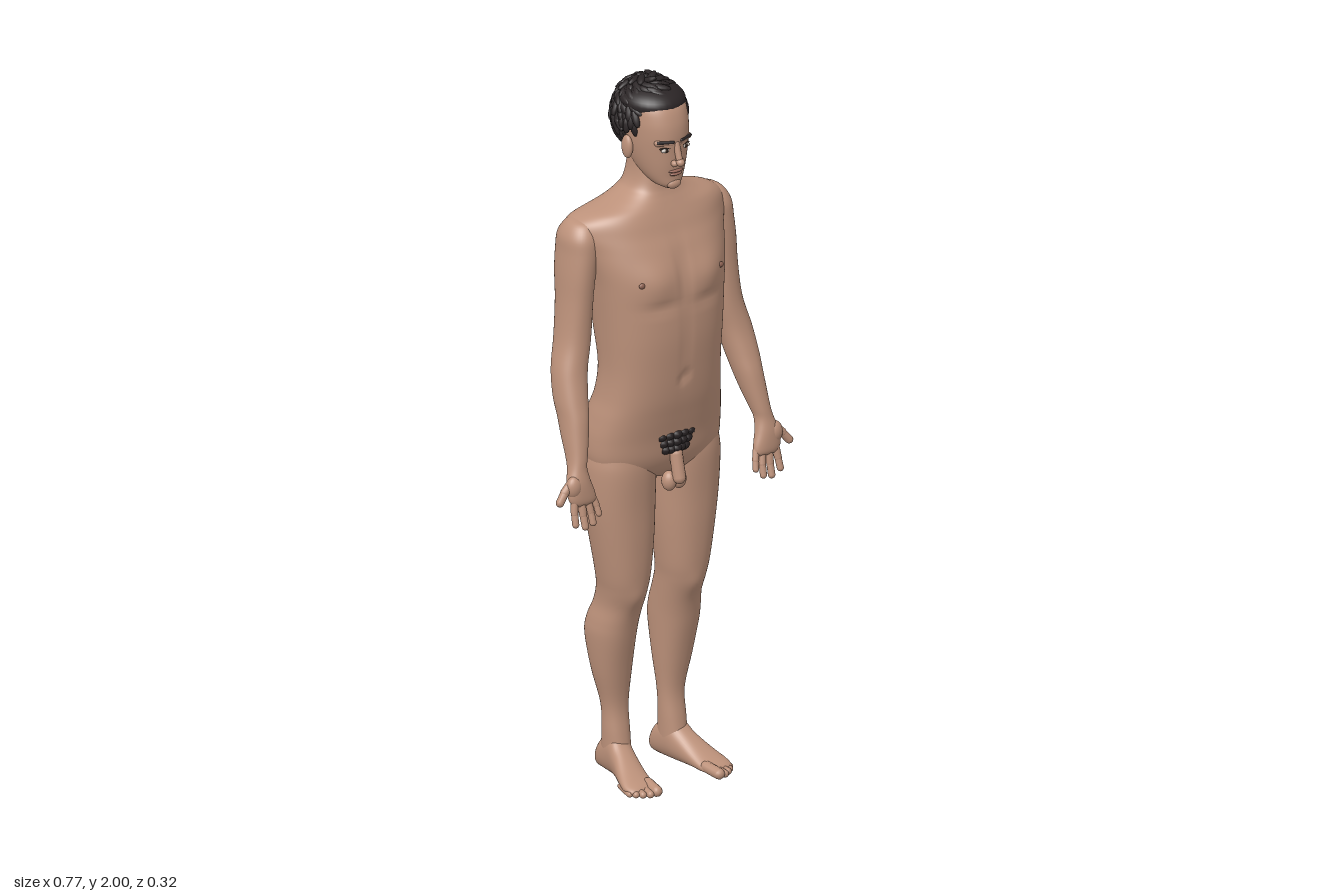
import * as THREE from 'three';

const mat = (name, color) => {
  const m = new THREE.MeshStandardMaterial({ color });
  m.name = name;
  return m;
};

// Catmull-Rom interpolation of rows of numbers
function resample(rows, steps) {
  const out = [], n = rows.length;
  for (let i = 0; i < n - 1; i++) {
    for (let s = 0; s < steps; s++) {
      const u = s / steps;
      const [a, b, c, d] = [rows[Math.max(i - 1, 0)], rows[i], rows[i + 1], rows[Math.min(i + 2, n - 1)]];
      out.push(b.map((v, k) => v + 0.5 * u * (c[k] - a[k] + u * (2 * a[k] - 5 * v + 4 * c[k] - d[k]
        + u * (3 * (v - c[k]) + d[k] - a[k])))));
    }
  }
  out.push(rows[n - 1]);
  return out;
}

// Smooth skin over cross-sections [t, centreX, halfWidth, high, low], t along y (or along z)
function loft(rows, { alongZ = false, power = 2.2, deform = null, seg = 40, steps = 5 } = {}) {
  const rings = resample(rows, steps), pos = [], idx = [];
  const put = (x, t, v) => {
    const p = alongZ ? [x, v, t] : [x, t, v];
    if (deform) p[2] += deform(...p);
    pos.push(...p);
  };
  const sp = (v) => Math.sign(v) * Math.abs(v) ** (2 / power);
  for (const [t, cx, rx, hi, lo] of rings) {
    for (let j = 0; j < seg; j++) {
      const a = (j / seg) * Math.PI * 2;
      put(cx + rx * sp(Math.cos(a)), t, (hi + lo) / 2 + ((hi - lo) / 2) * sp(Math.sin(a)));
    }
  }
  const last = rings.length - 1, c0 = pos.length / 3;
  for (const r of [rings[0], rings[last]]) put(r[1], r[0], (r[3] + r[4]) / 2);
  const flip = (rings[last][0] < rings[0][0]) !== alongZ;
  const tri = (a, b, c) => (flip ? idx.push(a, c, b) : idx.push(a, b, c));
  for (let j = 0; j < seg; j++) {
    const k = (j + 1) % seg;
    for (let i = 0; i < last; i++) {
      const p = i * seg;
      tri(p + j, p + seg + j, p + k);
      tri(p + k, p + seg + j, p + seg + k);
    }
    tri(c0, j, k);
    tri(c0 + 1, last * seg + k, last * seg + j);
  }
  const g = new THREE.BufferGeometry();
  g.setAttribute('position', new THREE.Float32BufferAttribute(pos, 3));
  g.setIndex(idx);
  g.computeVertexNormals();
  return g;
}

const ball = (x, y, z, rx, ry, rz, seg = 20) =>
  new THREE.SphereGeometry(1, seg, Math.ceil(seg * 0.7)).scale(rx, ry, rz).translate(x, y, z);

// Rounded rod between two points
function rod(a, b, r) {
  const A = new THREE.Vector3(...a), B = new THREE.Vector3(...b), d = B.clone().sub(A);
  const g = new THREE.CapsuleGeometry(r, d.length(), 5, 12);
  g.applyQuaternion(new THREE.Quaternion().setFromUnitVectors(new THREE.Vector3(0, 1, 0), d.normalize()));
  const m = A.add(B).multiplyScalar(0.5);
  return g.translate(m.x, m.y, m.z);
}

function mirror(g) {
  const m = g.clone().scale(-1, 1, 1), ix = m.index.array;
  for (let i = 0; i < ix.length; i += 3) [ix[i], ix[i + 1]] = [ix[i + 1], ix[i]];
  m.computeVertexNormals();
  return m;
}

// Body relief: shoulders set back, chest, knees, shoulder blades, spine, buttocks and navel
function relief(x, y, z) {
  const ax = Math.abs(x);
  const bump = (px, py, sx, sy) => Math.exp(-(((ax - px) / sx) ** 2) - ((y - py) / sy) ** 2);
  const shoulder = -0.036 * bump(0.25, 1.6, 0.09, 0.08);
  if (z > 0.02) {
    return shoulder + 0.014 * bump(0.085, 1.47, 0.06, 0.055) - 0.007 * bump(0, 1.48, 0.012, 0.08)
      - 0.006 * bump(0.075, 1.395, 0.05, 0.015) - 0.01 * bump(0, 1.18, 0.01, 0.015)
      - 0.004 * bump(0, 1.28, 0.012, 0.1) + 0.008 * bump(0.096, 0.53, 0.03, 0.035);
  }
  if (z < -0.04) {
    return shoulder - 0.024 * bump(0.08, 1.52, 0.05, 0.08) + 0.016 * bump(0, 1.38, 0.022, 0.2)
      - 0.022 * bump(0.085, 0.99, 0.06, 0.075) + 0.035 * bump(0, 0.96, 0.018, 0.08);
  }
  return shoulder;
}

export function createModel() {
  const body = new THREE.Group();
  body.name = 'standingFigure';
  const skin = mat('skin', 0xbc917a), hairMat = mat('hair', 0x2b2526), lipMat = mat('lips', 0x9a6a5c);
  const white = mat('eyeWhite', 0xd8d0c8), dark = mat('iris', 0x33241c), areola = mat('areola', 0x8f6454);
  const add = (name, g, m = skin) => {
    const mesh = new THREE.Mesh(g, m);
    mesh.name = name;
    body.add(mesh);
  };
  const pair = (name, g, m) => {
    add('left' + name, g, m);
    add('right' + name, mirror(g), m);
  };

  // Torso and neck
  add('torso', loft([
    [0.86, 0, 0.03, 0.03, -0.05], [0.875, 0, 0.11, 0.05, -0.08], [0.9, 0, 0.178, 0.073, -0.116],
    [0.94, 0, 0.2, 0.09, -0.138], [1.0, 0, 0.201, 0.101, -0.143], [1.06, 0, 0.191, 0.115, -0.128],
    [1.12, 0, 0.178, 0.128, -0.108], [1.2, 0, 0.172, 0.138, -0.1], [1.3, 0, 0.178, 0.146, -0.12],
    [1.4, 0, 0.188, 0.143, -0.138], [1.47, 0, 0.198, 0.133, -0.142], [1.54, 0, 0.217, 0.112, -0.137],
    [1.585, 0, 0.24, 0.092, -0.128], [1.615, 0, 0.235, 0.08, -0.121], [1.638, 0, 0.2, 0.07, -0.115],
    [1.66, 0, 0.135, 0.06, -0.108], [1.68, 0, 0.092, 0.051, -0.102], [1.7, 0, 0.07, 0.045, -0.095],
    [1.74, 0, 0.058, 0.04, -0.088], [1.8, 0, 0.055, 0.03, -0.08],
  ], { power: 2.45, deform: relief, seg: 96, steps: 6 }));
  pair('Nipple', ball(0.128, 1.467, 0.119, 0.01, 0.008, 0.006, 12), areola);

  // Legs
  pair('Leg', loft([
    [1.06, 0.1, 0.05, 0.03, -0.06], [1.0, 0.104, 0.083, 0.065, -0.105], [0.95, 0.105, 0.092, 0.072, -0.118],
    [0.9, 0.105, 0.099, 0.076, -0.123], [0.8, 0.104, 0.096, 0.072, -0.115], [0.7, 0.1, 0.085, 0.07, -0.1],
    [0.6, 0.097, 0.071, 0.065, -0.09], [0.55, 0.096, 0.063, 0.056, -0.092], [0.5, 0.096, 0.06, 0.038, -0.107],
    [0.45, 0.101, 0.063, 0.024, -0.128], [0.4, 0.103, 0.063, 0.013, -0.135], [0.3, 0.099, 0.053, -0.008, -0.115],
    [0.2, 0.092, 0.037, -0.022, -0.093], [0.12, 0.092, 0.036, -0.012, -0.09], [0.05, 0.092, 0.035, 0, -0.1],
  ], { deform: relief, seg: 56 }));

  // Feet and toes
  pair('Foot', loft([
    [-0.122, 0.088, 0.01, 0.04, 0.012], [-0.115, 0.089, 0.026, 0.06, 0.002], [-0.09, 0.09, 0.034, 0.095, 0],
    [-0.04, 0.094, 0.037, 0.118, 0], [0, 0.102, 0.038, 0.09, 0], [0.05, 0.115, 0.043, 0.058, 0],
    [0.09, 0.124, 0.046, 0.037, 0], [0.118, 0.126, 0.04, 0.027, 0.002], [0.128, 0.125, 0.03, 0.02, 0.008],
  ], { alongZ: true }));
  [[0.096, 0.102, 0.149, 0.0155], [0.116, 0.122, 0.148, 0.0105], [0.132, 0.139, 0.138, 0.01],
    [0.146, 0.153, 0.126, 0.0095], [0.157, 0.164, 0.112, 0.009]].forEach(([x0, x1, z, r], i) =>
    pair('Toe' + (i + 1), rod([x0, r + 0.005, z - 0.05], [x1, r, z], r)));

  // Arms running down into the palms
  pair('Arm', loft([
    [1.628, 0.2, 0.015, -0.035, -0.075], [1.618, 0.207, 0.036, -0.005, -0.095], [1.585, 0.215, 0.049, 0.016, -0.115],
    [1.54, 0.222, 0.047, 0.021, -0.118], [1.48, 0.23, 0.045, 0.022, -0.113], [1.4, 0.237, 0.043, 0.02, -0.1],
    [1.3, 0.248, 0.045, 0.022, -0.088],
    [1.22, 0.268, 0.046, 0.033, -0.07], [1.15, 0.279, 0.043, 0.053, -0.05], [1.1, 0.284, 0.038, 0.069, -0.028],
    [1.05, 0.291, 0.033, 0.08, -0.004], [1.0, 0.299, 0.027, 0.09, 0.024], [0.97, 0.305, 0.026, 0.095, 0.042],
    [0.935, 0.308, 0.035, 0.103, 0.055], [0.9, 0.304, 0.042, 0.106, 0.066], [0.88, 0.3, 0.039, 0.105, 0.075],
    [0.87, 0.299, 0.028, 0.099, 0.082],
  ]));

  // Fingers (base, knuckle, tip) and thumb
  [['LittleFinger', [0.269, 0.89, 0.086], [0.261, 0.862, 0.094], [0.257, 0.838, 0.101], 0.0085],
    ['RingFinger', [0.287, 0.885, 0.089], [0.281, 0.848, 0.097], [0.279, 0.818, 0.105], 0.0095],
    ['MiddleFinger', [0.307, 0.885, 0.09], [0.306, 0.845, 0.097], [0.305, 0.813, 0.106], 0.01],
    ['IndexFinger', [0.329, 0.89, 0.089], [0.333, 0.853, 0.096], [0.335, 0.825, 0.104], 0.0095],
    ['Thumb', [0.325, 0.945, 0.08], [0.356, 0.915, 0.083], [0.375, 0.892, 0.088], 0.0115],
  ].forEach(([name, a, b, c, r]) => {
    pair(name + 'Base', rod(a, b, r * 1.08));
    pair(name + 'Tip', rod(b, c, r));
  });
  pair('ThumbPad', ball(0.328, 0.925, 0.086, 0.024, 0.032, 0.02));

  // Simple groin anatomy
  add('groinFront', rod([0, 0.945, 0.095], [0, 0.882, 0.11], 0.018));
  pair('GroinLower', ball(0.016, 0.868, 0.085, 0.02, 0.028, 0.022));
  for (let i = 0; i < 15; i++) {
    const u = (i % 5) - 2, v = Math.floor(i / 5);
    add('bodyHair', ball(u * (0.023 - v * 0.004), 1.003 - v * 0.02, 0.096 - v * 0.001 - Math.abs(u) * 0.003,
      0.018, 0.015, 0.015, 8), hairMat);
  }

  // Head and face
  add('head', loft([
    [1.708, 0, 0.018, 0.082, 0.04], [1.72, 0, 0.037, 0.092, 0.0], [1.745, 0, 0.054, 0.094, -0.04],
    [1.78, 0, 0.067, 0.098, -0.08], [1.82, 0, 0.076, 0.1, -0.105], [1.86, 0, 0.08, 0.102, -0.115],
    [1.9, 0, 0.081, 0.096, -0.115], [1.94, 0, 0.075, 0.078, -0.105], [1.97, 0, 0.045, 0.04, -0.07],
  ], { seg: 56 }));
  add('noseBridge', rod([0, 1.84, 0.096], [0, 1.793, 0.112], 0.009));
  add('noseTip', ball(0, 1.791, 0.114, 0.012, 0.011, 0.013));
  pair('Nostril', ball(0.012, 1.787, 0.104, 0.009, 0.009, 0.011, 12));
  add('upperLip', ball(0, 1.761, 0.094, 0.023, 0.005, 0.008), lipMat);
  add('lowerLip', ball(0, 1.752, 0.093, 0.019, 0.005, 0.008), lipMat);
  add('chin', ball(0, 1.722, 0.084, 0.022, 0.015, 0.014));
  pair('BrowRidge', rod([0.015, 1.845, 0.094], [0.05, 1.846, 0.08], 0.009));
  pair('Eyebrow', rod([0.014, 1.848, 0.101], [0.052, 1.849, 0.087], 0.0045), hairMat);
  pair('Eye', ball(0.033, 1.826, 0.093, 0.014, 0.006, 0.005), white);
  pair('Iris', ball(0.032, 1.826, 0.0965, 0.0055, 0.0055, 0.003, 12), dark);
  pair('UpperLid', rod([0.02, 1.832, 0.096], [0.046, 1.831, 0.088], 0.0025), dark);
  pair('Ear', ball(0.083, 1.815, -0.012, 0.012, 0.033, 0.021));

  // Hair: a base mass covered with swept locks
  add('hairBack', ball(0, 1.873, -0.057, 0.092, 0.096, 0.08, 32), hairMat);
  add('hairTop', ball(0, 1.935, -0.018, 0.088, 0.046, 0.1, 32), hairMat);
  let seed = 7;
  const rnd = () => (seed = (seed * 16807) % 2147483647) / 2147483647;
  const up = new THREE.Vector3(0, 1, 0), N = 320;
  for (let i = 0; i < N; i++) {
    const y = 1 - (2 * (i + 0.5)) / N, a = i * 2.39996, r = Math.sqrt(1 - y * y);
    const d = new THREE.Vector3(r * Math.cos(a), y, r * Math.sin(a));
    const hairline = d.z > 0.55 ? 0.4 : d.z > 0.32 ? -0.3 : d.z > -0.1 ? -0.2 : -0.82;
    if (y < hairline) continue;
    // each lock lies along the scalp, swirling round the crown and dropping at the sides
    const flow = new THREE.Vector3().crossVectors(up, d).multiplyScalar(y > 0.3 ? 0.5 + rnd() : 0.4 * rnd());
    flow.addScaledVector(up, -0.2 - 0.8 * rnd());
    flow.addScaledVector(d, -flow.dot(d) + 0.12 * rnd()).normalize();
    const side = new THREE.Vector3().crossVectors(d, flow).normalize();
    const out = new THREE.Vector3().crossVectors(flow, side);
    const g = ball(0, 0, 0, 0.024 + 0.01 * rnd(), 0.011, 0.009, 9);
    g.applyMatrix4(new THREE.Matrix4().makeBasis(flow, side, out));
    const k = 0.95 + 0.07 * rnd();
    add('hairLock', g.translate(d.x * 0.093 * k, 1.89 + d.y * 0.097 * k, -0.029 + d.z * 0.107 * k), hairMat);
  }
  return body;
}
